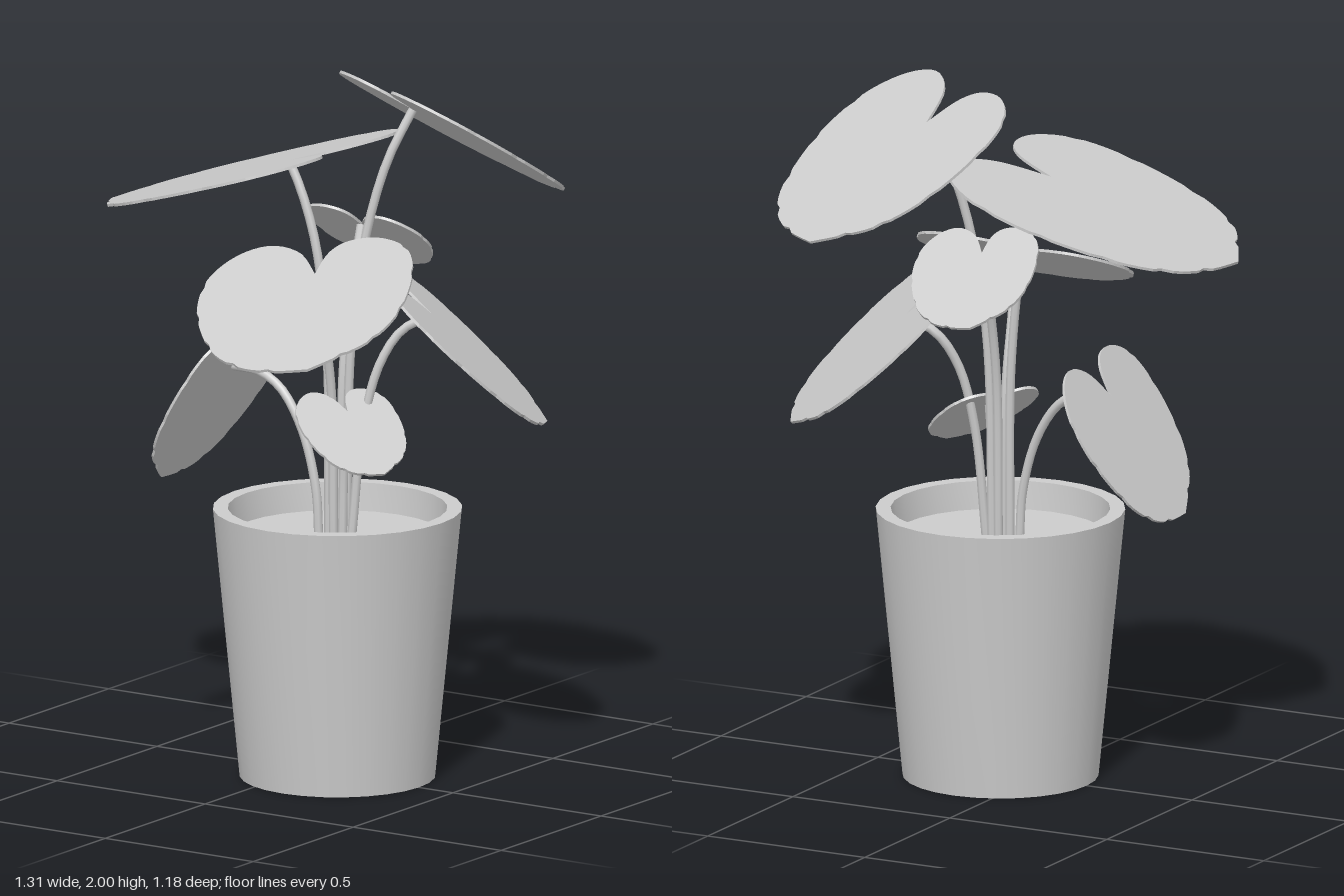
import * as THREE from 'three';
import { toCreasedNormals } from 'three/addons/utils/BufferGeometryUtils.js';

const V = (a) => new THREE.Vector3(...a);
const grey = () => new THREE.MeshStandardMaterial({ color: 0xcccccc });
const POT_X = 0.11;
const UNIT_LENGTH = 0.61; // notch to tip of the unit leaf

// One side of the leaf outline as a spline with shallow teeth
function leafEdge(points) {
  const curve = new THREE.SplineCurve(points.map(([x, y]) => new THREE.Vector2(x, y)));
  return curve.getPoints(44).map((p, i) => (i % 5 === 0 && i > 4 && i < 28 ? p.multiplyScalar(0.983) : p));
}

// Heart-shaped, slightly lopsided leaf: notch at the origin, tip towards +y
function leafShape() {
  const left = leafEdge([[0, 0.61], [-0.115, 0.55], [-0.225, 0.475], [-0.315, 0.32], [-0.352, 0.1],
    [-0.325, -0.07], [-0.23, -0.165], [-0.12, -0.18], [-0.045, -0.125], [0, 0]]);
  const right = leafEdge([[0, 0.61], [0.13, 0.585], [0.245, 0.53], [0.34, 0.42], [0.395, 0.26],
    [0.415, 0.1], [0.385, -0.07], [0.29, -0.19], [0.17, -0.225], [0.06, -0.15], [0, 0]]);
  return new THREE.Shape([...left, ...right.reverse().slice(1, -1)]);
}

function makeLeaf(shape, base, tip, normal) {
  const forward = V(tip).sub(V(base));
  const scale = forward.length() / UNIT_LENGTH;
  forward.normalize();
  const side = forward.clone().cross(V(normal)).normalize();
  const up = side.clone().cross(forward);
  const geo = new THREE.ExtrudeGeometry(shape, { depth: 0.008 / scale, bevelEnabled: false });
  geo.scale(scale, scale, scale);
  geo.applyMatrix4(new THREE.Matrix4().makeBasis(side, forward, up).setPosition(V(base)));
  const mesh = new THREE.Mesh(geo, grey());
  mesh.name = 'leaf';
  return mesh;
}

function makeStem(points, radius) {
  const curve = new THREE.CatmullRomCurve3(points.map(V));
  const mesh = new THREE.Mesh(new THREE.TubeGeometry(curve, 20, radius, 8), grey());
  mesh.name = 'stem';
  return mesh;
}

function makePot() {
  const pot = new THREE.Group();
  pot.name = 'pot';
  const profile = [[0, 0], [0.275, 0], [0.35, 0.77], [0.308, 0.77], [0.298, 0.67]];
  const wall = new THREE.LatheGeometry(profile.map(([r, y]) => new THREE.Vector2(r, y)), 28);
  const shell = new THREE.Mesh(toCreasedNormals(wall, 0.6), grey());
  shell.name = 'potShell';
  const soil = new THREE.Mesh(new THREE.CircleGeometry(0.301, 28).rotateX(-Math.PI / 2), grey());
  soil.position.y = 0.69;
  soil.name = 'soil';
  pot.add(shell, soil);
  pot.position.x = POT_X;
  return pot;
}

// Each sprig: stem path up to the leaf notch, leaf tip and upper-face normal
const SPRIGS = [
  { name: 'upperRightSprig', tip: [-0.63, 1.56, 0.03], normal: [-0.3, 0.95, 0],
    stem: [[0.08, 0.68, 0], [0.075, 1.2, 0], [0.04, 1.5, 0], [-0.01, 1.66, 0], [-0.05, 1.74, 0]] },
  { name: 'upperLeftSprig', tip: [0.4, 1.63, -0.58], normal: [0.28, 1, -0.56],
    stem: [[0.12, 0.68, -0.03], [0.13, 1.25, -0.04], [0.16, 1.55, -0.07], [0.205, 1.76, -0.11], [0.25, 1.9, -0.17]] },
  { name: 'frontSprig', tip: [0.38, 1.305, 0.55], normal: [0, 1, 0.4],
    stem: [[0.11, 0.68, 0.02], [0.11, 1.1, 0.03], [0.115, 1.3, 0.075], [0.14, 1.47, 0.155]] },
  { name: 'lowerRightSprig', tip: [-0.43, 0.8, 0.08], normal: [-0.88, 0.48, 0],
    stem: [[0.06, 0.68, 0.02], [0.05, 0.82, 0.02], [0.005, 0.98, 0.02], [-0.07, 1.09, 0.015], [-0.15, 1.13, 0.01], [-0.24, 1.13, 0]] },
  { name: 'backSprig', tip: [-0.01, 1.39, -0.4], normal: [0, 1, -0.68],
    stem: [[0.1, 0.68, -0.03], [0.095, 1.15, -0.05], [0.09, 1.38, -0.1], [0.075, 1.545, -0.17]] },
  { name: 'lowerLeftSprig', tip: [0.61, 1.02, -0.3], normal: [0.06, 0.088, -0.042],
    stem: [[0.15, 0.68, -0.01], [0.175, 1.0, -0.03], [0.21, 1.18, -0.06], [0.26, 1.28, -0.1], [0.335, 1.325, -0.13]] },
  { name: 'smallFrontSprig', tip: [0.345, 0.915, 0.115], normal: [0.03, 0.05, 0.018],
    stem: [[0.14, 0.68, 0.02], [0.145, 0.9, 0.02], [0.165, 1.055, 0.035]] },
];

export function createModel() {
  const model = new THREE.Group();
  model.name = 'pottedPlant';
  model.add(makePot());
  const shape = leafShape();
  for (const { name, stem, tip, normal } of SPRIGS) {
    const sprig = new THREE.Group();
    sprig.name = name;
    sprig.add(makeStem(stem, 0.013), makeLeaf(shape, stem[stem.length - 1], tip, normal));
    model.add(sprig);
  }
  return model;
}
